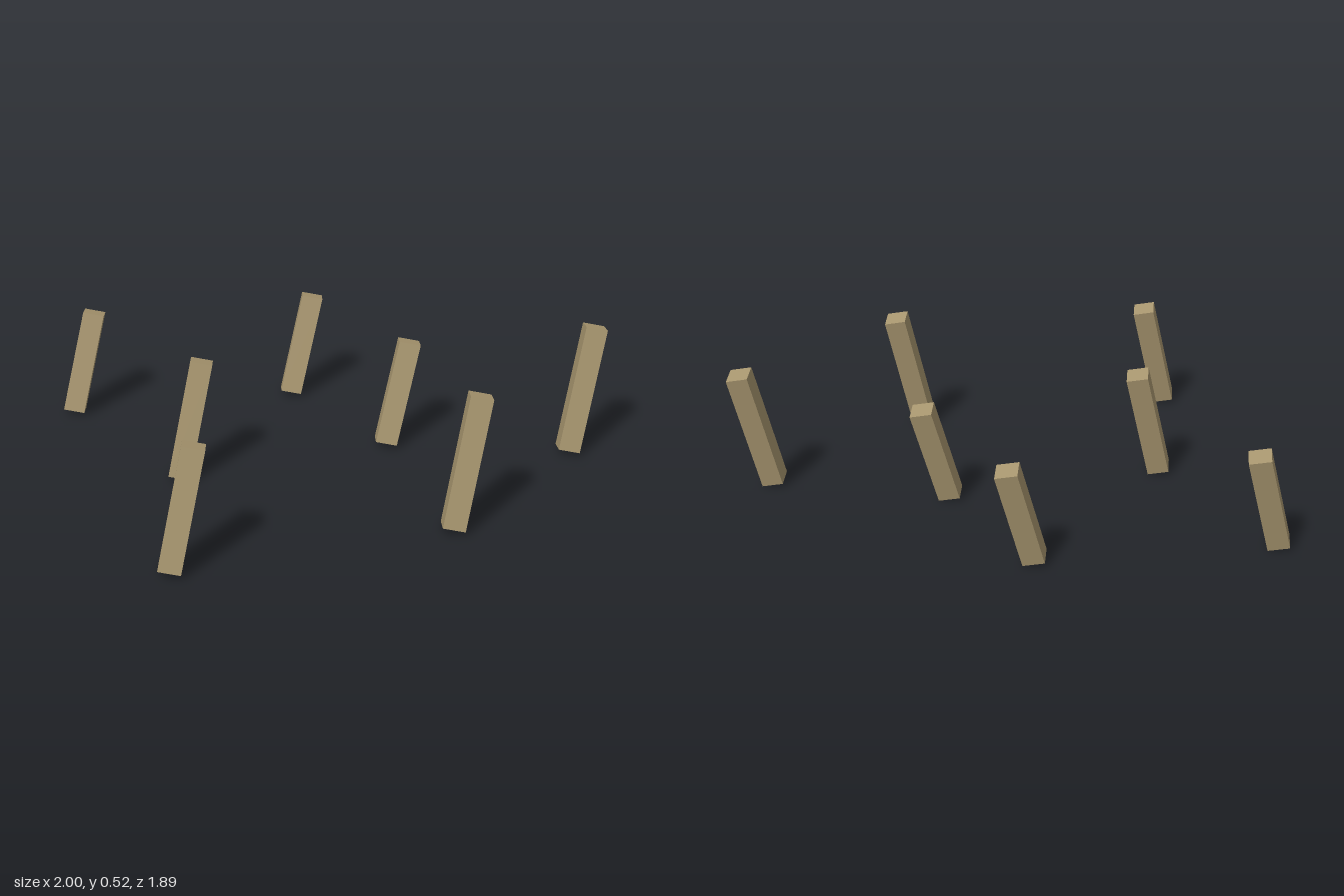
import * as THREE from 'three';

const RADIUS = 0.06; // half the diagonal of the square section
const LEAN = 0.125; // sideways shift from foot to top

// Square post set corner-first, leaning toward +x with slanted ends
function makePost(height, material) {
  const geo = new THREE.CylinderGeometry(RADIUS, RADIUS, height, 4).toNonIndexed();
  geo.translate(0, height / 2, 0);
  geo.applyMatrix4(new THREE.Matrix4().set(
    0.967, LEAN / height, 0, 0,
    -0.255, 1, 0, 0,
    0, 0, 1, 0,
    0, 0, 0, 1,
  ));
  geo.computeVertexNormals();
  return new THREE.Mesh(geo, material);
}

export function createModel() {
  const group = new THREE.Group();
  group.name = 'leaningPosts';
  const wood = new THREE.MeshStandardMaterial({ color: 0xa8966f });
  wood.name = 'weathered wood';
  wood.flatShading = true;

  // Foot centre x, z and height of each post
  const posts = [
    [-0.942, 0.39, 0.444],
    [-0.440, -0.124, 0.444],
    [-0.350, -0.884, 0.398],
    [0.425, -0.386, 0.398],
    [0.350, 0.231, 0.398],
    [0.003, 0.884, 0.49],
    [0.817, 0.785, 0.49],
  ];
  posts.forEach(([x, z, height], i) => {
    const post = makePost(height, wood);
    post.name = `post${i + 1}`;
    post.position.set(x, 0.0165, z);
    group.add(post);
  });
  return group;
}
